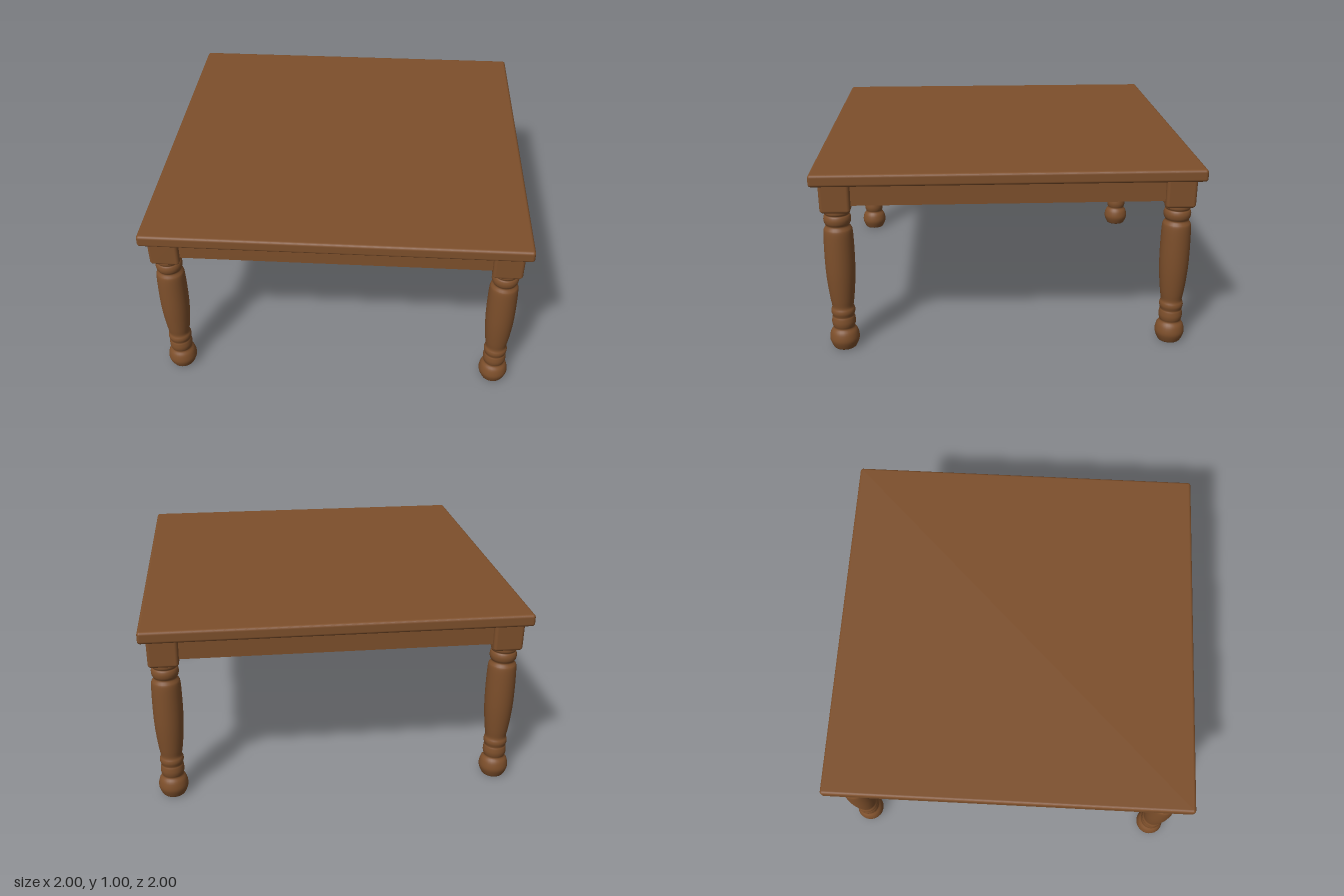
import * as THREE from 'three';
import { RoundedBoxGeometry } from 'three/addons/geometries/RoundedBoxGeometry.js';

const wood = new THREE.MeshStandardMaterial({ color: 0x7d4f2b });
wood.name = 'brown wood';

const LEG_X = 0.885, LEG_Z = 0.88;

function part(name, geometry, x, y, z) {
  const mesh = new THREE.Mesh(geometry, wood);
  mesh.name = name;
  mesh.position.set(x, y, z);
  return mesh;
}

// Turned leg: ball foot, rings, swelling shaft and collar
function legGeometry() {
  const profile = [
    [0.058, 0], [0.064, 0.008], [0.077, 0.04], [0.078, 0.065], [0.07, 0.095], [0.056, 0.115],
    [0.06, 0.13], [0.063, 0.15], [0.06, 0.175], [0.057, 0.185], [0.063, 0.205], [0.062, 0.222],
    [0.056, 0.24], [0.062, 0.28], [0.07, 0.35], [0.076, 0.43], [0.078, 0.52], [0.077, 0.62],
    [0.074, 0.67], [0.068, 0.685], [0.06, 0.7], [0.068, 0.715], [0.071, 0.735], [0.067, 0.752],
    [0.062, 0.76], [0.068, 0.772], [0.066, 0.8],
  ].map(([r, y]) => new THREE.Vector2(r, y));
  const smooth = new THREE.SplineCurve(profile).getPoints(78);
  return new THREE.LatheGeometry([new THREE.Vector2(0, 0), ...smooth], 28);
}

// Square block above each leg, drawn in slightly at its lower edge
function blockGeometry() {
  const geometry = new RoundedBoxGeometry(0.158, 0.17, 0.158, 3, 0.018);
  const p = geometry.attributes.position;
  for (let i = 0; i < p.count; i++) {
    const t = Math.max(0, Math.min(1, (-0.06 - p.getY(i)) / 0.025));
    p.setX(i, p.getX(i) * (1 - 0.06 * t));
    p.setZ(i, p.getZ(i) * (1 - 0.06 * t));
  }
  return geometry;
}

export function createModel() {
  const table = new THREE.Group();
  table.name = 'table';

  // Square top with softened edges
  table.add(part('tableTop', new RoundedBoxGeometry(2, 0.065, 2, 4, 0.016), 0, 0.9675, 0));

  const leg = legGeometry(), block = blockGeometry();
  for (const sx of [-1, 1]) {
    for (const sz of [-1, 1]) {
      const group = new THREE.Group();
      group.name = `${sz > 0 ? 'front' : 'back'}${sx > 0 ? 'Left' : 'Right'}Leg`;
      group.position.set(sx * LEG_X, 0, sz * LEG_Z);
      group.add(part('turnedLeg', leg, 0, 0, 0), part('legBlock', block, 0, 0.865, 0));
      table.add(group);
    }
  }

  // Aprons between the leg blocks
  const frontApron = new THREE.BoxGeometry(2 * LEG_X, 0.125, 0.08);
  const sideApron = new THREE.BoxGeometry(0.08, 0.125, 2 * LEG_Z);
  for (const s of [-1, 1]) {
    table.add(part(s > 0 ? 'frontApron' : 'backApron', frontApron, 0, 0.8785, s * 0.89));
    table.add(part(s > 0 ? 'leftApron' : 'rightApron', sideApron, s * 0.895, 0.8785, 0));
  }
  return table;
}
